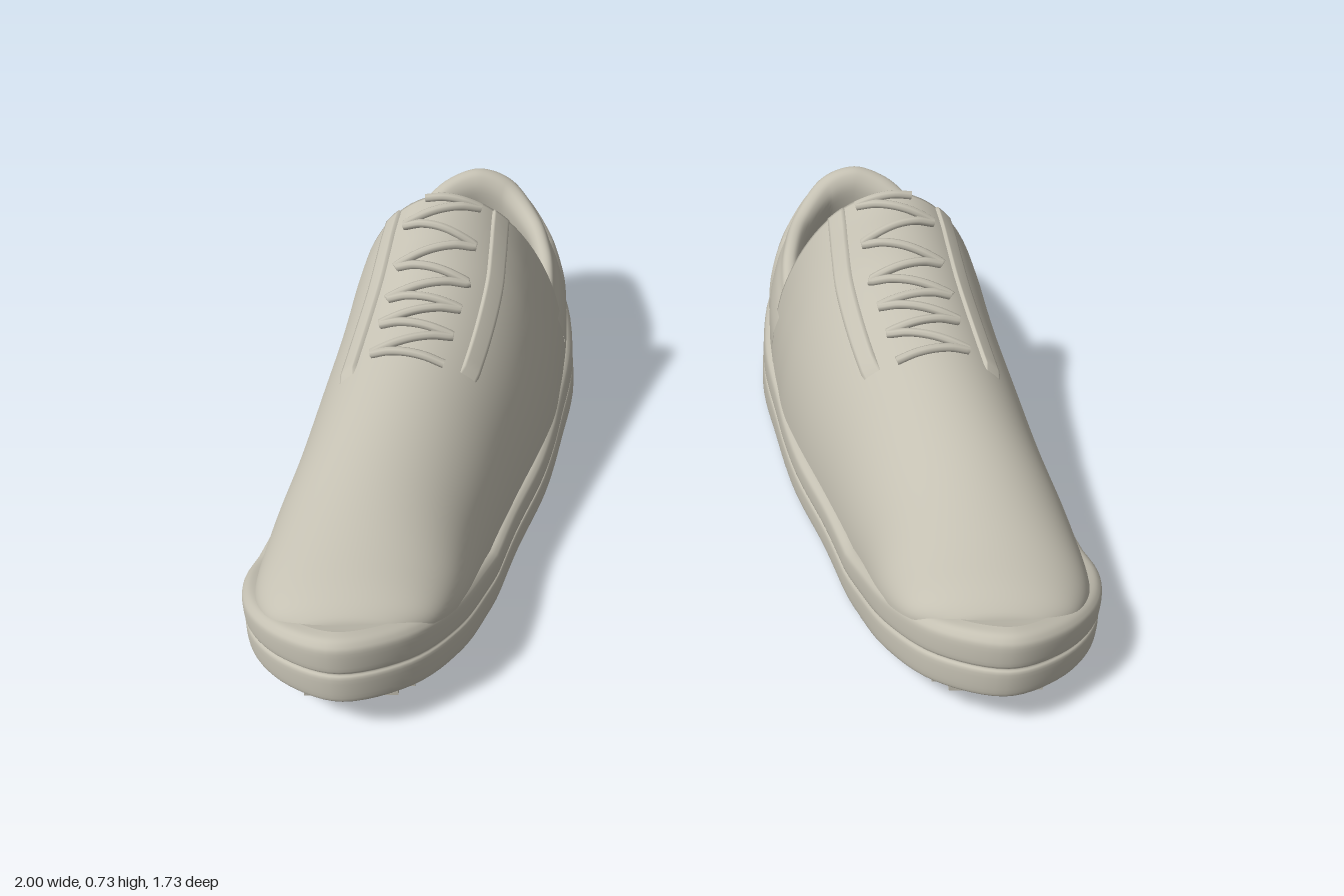
import * as THREE from 'three';

const material = new THREE.MeshStandardMaterial({ color: 0xc4c0b2, side: THREE.DoubleSide });
material.name = 'warm grey';

// Smooth lookup in a list of rows; t counts rows
function at(rows, t) {
  const n = rows.length - 1;
  const i = Math.max(0, Math.min(Math.floor(t), n - 1)), f = t - i;
  const r = (k) => rows[Math.max(0, Math.min(n, k))];
  return rows[0].map((_, c) => {
    const a = r(i - 1)[c], b = r(i)[c], d = r(i + 1)[c], e = r(i + 2)[c];
    return b + 0.5 * f * (d - a + f * (2 * a - 5 * b + 4 * d - e + f * (3 * (b - d) + e - a)));
  });
}

// Sheet of (nu+1) x (nv+1) points; may close on itself along u
function grid(nu, nv, fn, closed = false) {
  const pos = [], idx = [], rows = closed ? nu : nu + 1;
  for (let i = 0; i < rows; i++) for (let j = 0; j <= nv; j++) pos.push(...fn(i, j));
  for (let i = 0; i < nu; i++) for (let j = 0; j < nv; j++) {
    const a = i * (nv + 1) + j, b = ((i + 1) % rows) * (nv + 1) + j;
    idx.push(a, b, b + 1, a, b + 1, a + 1);
  }
  const g = new THREE.BufferGeometry();
  g.setAttribute('position', new THREE.Float32BufferAttribute(pos, 3));
  g.setIndex(idx);
  g.computeVertexNormals();
  return g;
}

// Piecewise linear height along z (points listed from front to back)
function heightAt(pts, z) {
  for (let i = 0; i < pts.length - 1; i++) {
    const [z0, y0] = pts[i], [z1, y1] = pts[i + 1];
    if (z >= z1) return y0 + (y1 - y0) * Math.min(1, Math.max(0, (z0 - z) / (z0 - z1)));
  }
  return pts[pts.length - 1][1];
}
const soleTop = (z) => heightAt([[0.87, 0.285], [0.4, 0.14], [-0.12, 0.14], [-0.45, 0.193], [-0.65, 0.212], [-0.87, 0.215]], z);
const soleBottom = (z) => heightAt([[0.87, 0.095], [0.68, 0.055], [0.45, 0.002], [0.4, 0], [-0.87, 0]], z);

// Sole outline (x, z): toe, outer side, heel, inner side
const outline = new THREE.CatmullRomCurve3([
  [0.73, 0.865], [0.86, 0.8], [0.96, 0.67], [1, 0.5], [0.965, 0.28], [0.925, 0.03], [0.89, -0.2],
  [0.83, -0.42], [0.745, -0.69], [0.65, -0.82], [0.52, -0.868], [0.39, -0.82], [0.295, -0.66],
  [0.262, -0.42], [0.285, -0.2], [0.32, 0.03], [0.38, 0.25], [0.43, 0.47], [0.485, 0.66], [0.58, 0.8],
].map(([x, z]) => new THREE.Vector3(x, 0, z)), true);
const N = 120;
const ring = Array.from({ length: N }, (_, i) => outline.getPoint(i / N));
function ringPoint(i, inset, frac) {
  const k = i % N, p = ring[k], d = ring[(k + 1) % N].clone().sub(ring[(k + N - 1) % N]).normalize();
  const y0 = soleBottom(p.z) + 0.01, y1 = soleTop(p.z);
  return [p.x + d.z * inset, y0 + (y1 - y0) * frac, p.z - d.x * inset];
}
const soleProfile = [[0.028, 0], [0.008, 0.03], [0, 0.12], [0, 0.42], [0.007, 0.48], [0.007, 0.51],
  [0, 0.57], [0, 0.85], [0.008, 0.95], [0.022, 1], [0.045, 1]];

// Vamp stations: z, inner x, outer x, base y, top y, forward lean of the top
const vampRows = [
  [0.79, 0.67, 0.76, 0.245, 0.255, 0], [0.775, 0.59, 0.84, 0.24, 0.285, 0], [0.72, 0.515, 0.91, 0.225, 0.315, 0],
  [0.6, 0.47, 0.955, 0.185, 0.345, 0], [0.4, 0.435, 0.955, 0.13, 0.4, 0], [0.2, 0.385, 0.925, 0.12, 0.465, 0],
  [0, 0.33, 0.9, 0.12, 0.53, 0], [-0.15, 0.298, 0.875, 0.13, 0.595, 0.02], [-0.24, 0.288, 0.858, 0.145, 0.65, 0.04],
  [-0.3, 0.282, 0.848, 0.155, 0.688, 0.055], [-0.365, 0.278, 0.835, 0.165, 0.72, 0.075]];
function vampPoint(s, a, out = 0) {
  const [z, xl, xr, yb, yt, lean] = at(vampRows, s);
  const c = Math.cos(a), h = (xr - xl) / 2 + out;
  const y = yb + (yt - yb + out) * Math.sin(a);
  return [(xl + xr) / 2 + h * c, y, z + lean * Math.min(1, Math.max(0, (y - 0.37) / 0.35))];
}

// Collar stations around the heel: x, z, rim height, thickness factor
const collarRows = [
  [0.836, -0.33, 0.36, 1], [0.815, -0.44, 0.39, 1], [0.78, -0.56, 0.415, 1], [0.73, -0.69, 0.435, 1.1],
  [0.64, -0.79, 0.49, 1.3], [0.52, -0.832, 0.515, 1.4], [0.4, -0.795, 0.49, 1.3], [0.322, -0.68, 0.435, 1.1],
  [0.288, -0.54, 0.415, 1], [0.278, -0.44, 0.39, 1], [0.28, -0.33, 0.36, 1]];
const collarProfile = [[0, 0], [-0.003, 0.45], [0.008, 0.72], [0.022, 0.88], [0.03, 0.97], [0.045, 1],
  [0.062, 0.97], [0.072, 0.85], [0.065, 0.6], [0.05, 0.3], [0.045, 0]];
function collarPoint(t, v, out = 0) {
  const [x, z, y, k] = at(collarRows, t), p = at(collarRows, t - 0.05), q = at(collarRows, t + 0.05);
  const [d, f] = at(collarProfile, v);
  const dx = q[0] - p[0], dz = q[1] - p[1], l = Math.hypot(dx, dz), inset = d * k - out;
  return [x + dz / l * inset, 0.16 + (y - 0.16) * f, z - dx / l * inset];
}

// Raised panel: lifted in the middle, sunk at its border
const lift = (i, j, nu, nv, h) => (i === 0 || j === 0 || i === nu || j === nv ? -0.004 : h);

function shoeParts() {
  const parts = [];
  const add = (name, g) => parts.push([name, g]);

  // Sole: side wall, underside, insole
  add('soleWall', grid(N, 40, (i, j) => ringPoint(i, ...at(soleProfile, j / 4)), true));
  add('insole', grid(N / 2, 1, (i, j) => ringPoint(j ? N - i : i, 0.044, 1)));
  add('soleUnderside', grid(N / 2, 1, (i, j) => ringPoint(j ? i : N - i, 0.028, 0)));

  // Tread ribs across the underside
  for (let z = -0.81; z < 0.82; z += 0.035) {
    const xs = [];
    ring.forEach((p, i) => {
      const q = ring[(i + 1) % N];
      if ((p.z - z) * (q.z - z) <= 0 && p.z !== q.z) xs.push(p.x + (q.x - p.x) * (z - p.z) / (q.z - p.z));
    });
    const x0 = Math.min(...xs) + 0.035, x1 = Math.max(...xs) - 0.035;
    const g = new THREE.BoxGeometry(x1 - x0, 0.016, 0.018);
    g.translate((x0 + x1) / 2, soleBottom(z) + 0.008, z);
    add('treadRib', g);
  }

  // Vamp: outer skin, rounded rim, then lining running back inside
  const S = 60, L = 30;
  add('vamp', grid(S + L, 48, (i, j) => {
    const a = Math.PI * j / 48;
    if (i <= S) return vampPoint(10 * i / S, a);
    const k = i - S;
    return vampPoint(10 - Math.max(0, k - 3) * 0.2, a, -Math.min(k, 3) * 0.009);
  }));

  // Heel wall with padded collar, and the panel on it
  add('heelCollar', grid(80, 40, (i, j) => collarPoint(i / 8, j / 4)));
  add('heelPanel', grid(60, 12, (i, j) => {
    const t0 = 1.85 + 0.6 * j / 12;
    return collarPoint(t0 + (10 - 2 * t0) * i / 60, 0.2 + 2.9 * j / 12, lift(i, j, 60, 12, 0.007));
  }));

  // Eyelet strips on both sides of the lacing
  for (const side of [1, -1]) {
    add('eyeletStrip', grid(40, 10, (i, j) => {
      const c = side * (0.53 - 0.005 * i / 4) + 0.075 * (1 - j / 5);
      return vampPoint(5.45 + 4.5 * i / 40, Math.acos(c), lift(i, j, 40, 10, 0.008));
    }));
  }

  // Zigzag lace lying on the vamp
  const stops = [5.45, 5.6, 5.85, 6.05, 6.3, 6.5, 6.8, 7.2, 7.8, 8.7, 9.5, 9.75];
  const pts = [];
  stops.slice(0, -1).forEach((s, i) => {
    for (let k = 0; k < 4; k++) {
      const c = (i % 2 ? 1 : -1) * (0.32 - 0.64 * k / 4);
      pts.push(new THREE.Vector3(...vampPoint(s + (stops[i + 1] - s) * k / 4, Math.acos(c), 0.011)));
    }
  });
  add('lace', new THREE.TubeGeometry(new THREE.CatmullRomCurve3(pts), 260, 0.011, 8));
  return parts;
}

// Mirrored copy across x with the corner order restored
function mirrored(g) {
  const m = g.clone().scale(-1, 1, 1), idx = m.index.array;
  for (let i = 0; i < idx.length; i += 3) [idx[i], idx[i + 1]] = [idx[i + 1], idx[i]];
  return m;
}

export function createModel() {
  const model = new THREE.Group();
  model.name = 'pairOfShoes';
  const parts = shoeParts();
  for (const side of ['leftShoe', 'rightShoe']) {
    const shoe = new THREE.Group();
    shoe.name = side;
    for (const [name, g] of parts) {
      const mesh = new THREE.Mesh(side === 'leftShoe' ? g : mirrored(g), material);
      mesh.name = name;
      shoe.add(mesh);
    }
    model.add(shoe);
  }
  return model;
}
